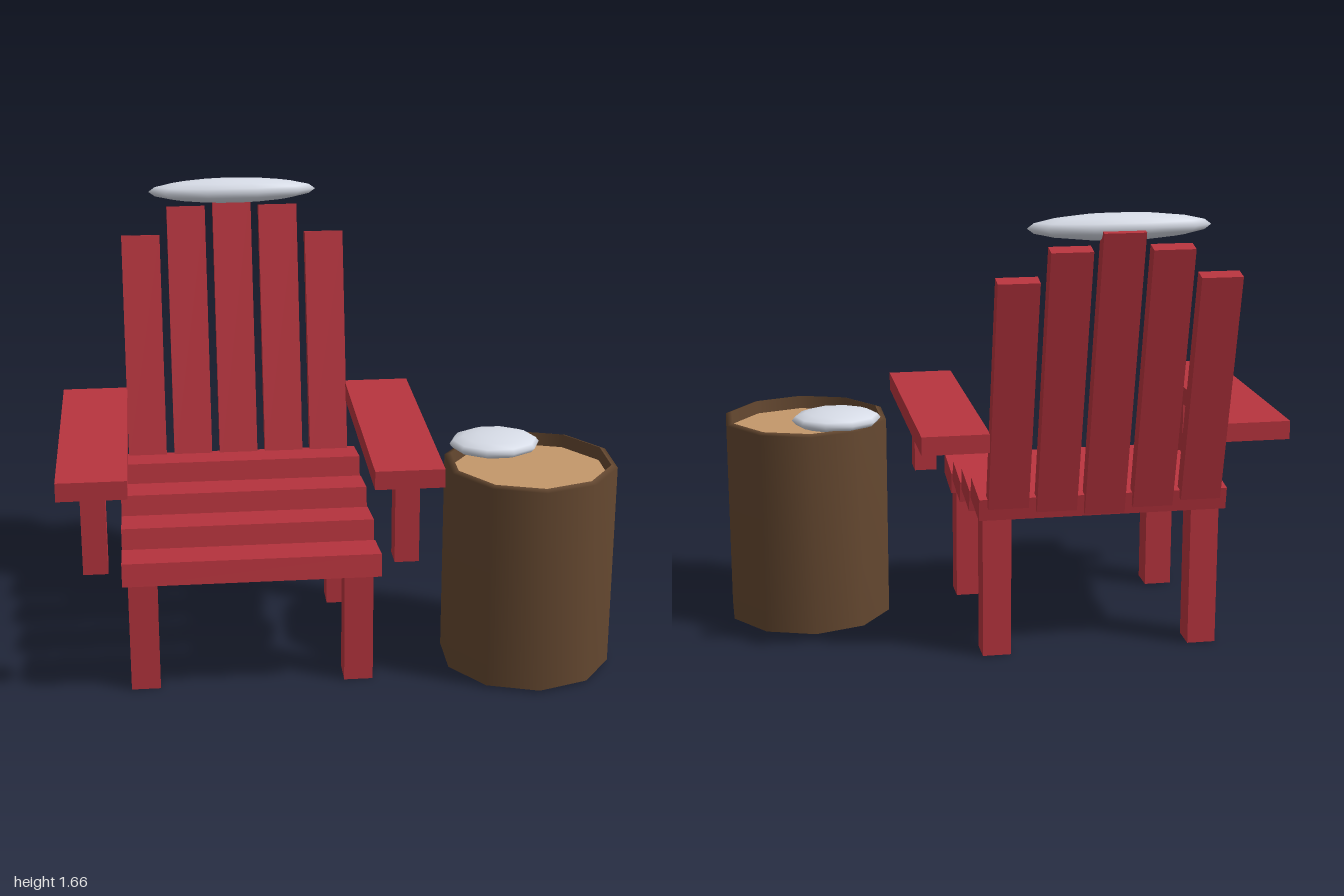
import * as THREE from 'three';

const mat = (name, color, opts = {}) => {
  const m = new THREE.MeshStandardMaterial({ color, ...opts });
  m.name = name;
  return m;
};

export function createModel() {
  const red = mat('red paint', 0xb8343e);
  const bark = mat('bark brown', 0x654830);
  const wood = mat('cut wood tan', 0xc4976a);
  const snow = mat('snow white', 0xd8dde8);

  const model = new THREE.Group();
  model.name = 'gardenChairAndStump';

  const add = (parent, name, geometry, material, x, y, z, tilt = 0) => {
    const mesh = new THREE.Mesh(geometry, material);
    mesh.name = name;
    mesh.position.set(x, y, z);
    mesh.rotation.x = tilt;
    parent.add(mesh);
    return mesh;
  };
  const box = (w, h, d) => new THREE.BoxGeometry(w, h, d);

  // Chair, built around its own centre line
  const chair = new THREE.Group();
  chair.name = 'chair';
  chair.position.x = -0.33;
  model.add(chair);

  // Seat slats step down towards the front
  for (let i = 0; i < 4; i++) {
    add(chair, 'seatSlat', box(0.915, 0.083, 0.195), red, 0, 0.585 - 0.035 * i, -0.255 + 0.23 * i, -0.155);
  }

  // Back slats lean backwards, the middle one longest
  const lean = 0.2306;
  const spans = [[0, 1.09], [0.02, 1.025], [0.04, 0.917]];
  for (let i = -2; i <= 2; i++) {
    const [from, to] = spans[Math.abs(i)];
    const mid = (from + to) / 2;
    add(chair, 'backSlat', box(0.147, to - from, 0.056), red,
      i * 0.177, 0.546 + mid * Math.cos(lean), -0.338 - mid * Math.sin(lean), -lean);
  }

  // Legs, armrests and their posts on both sides
  for (const s of [-1, 1]) {
    add(chair, 'frontLeg', box(0.105, 0.44, 0.105), red, s * 0.387, 0.22, 0.385);
    add(chair, 'rearLeg', box(0.105, 0.53, 0.105), red, s * 0.387, 0.265, -0.2675);
    add(chair, 'armPost', box(0.087, 0.3, 0.09), red, s * 0.547, 0.65, 0.475);
    add(chair, 'armrest', box(0.245, 0.068, 0.985), red, s * 0.5475, 0.834, 0.0825);
  }

  // Ten-sided stump with a bevelled rim and a sunken cut face
  const stump = new THREE.Group();
  stump.name = 'stump';
  stump.position.set(0.697, 0, 0.295);
  model.add(stump);
  const lathe = (pts) => new THREE.LatheGeometry(pts.map(([r, y]) => new THREE.Vector2(r, y)), 10);
  add(stump, 'stumpBark', lathe([[0, 0], [0.295, 0], [0.315, 0.008], [0.315, 0.777], [0.292, 0.785]]), bark, 0, 0, 0);
  add(stump, 'stumpInnerRim', lathe([[0.292, 0.785], [0.29, 0.735]]), bark, 0, 0, 0);
  add(stump, 'stumpCutFace', lathe([[0.29, 0.735], [0, 0.735]]), wood, 0, 0, 0);

  // Flattened mounds of snow
  const mound = (name, x, y, z, rx, ry, rz) => {
    add(model, name, new THREE.SphereGeometry(1, 10, 8), snow, x, y, z).scale.set(rx, ry, rz);
  };
  mound('backSnow', -0.328, 1.612, -0.533, 0.32, 0.047, 0.068);
  mound('stumpSnow', 0.59, 0.8, 0.152, 0.167, 0.04, 0.137);

  return model;
}
